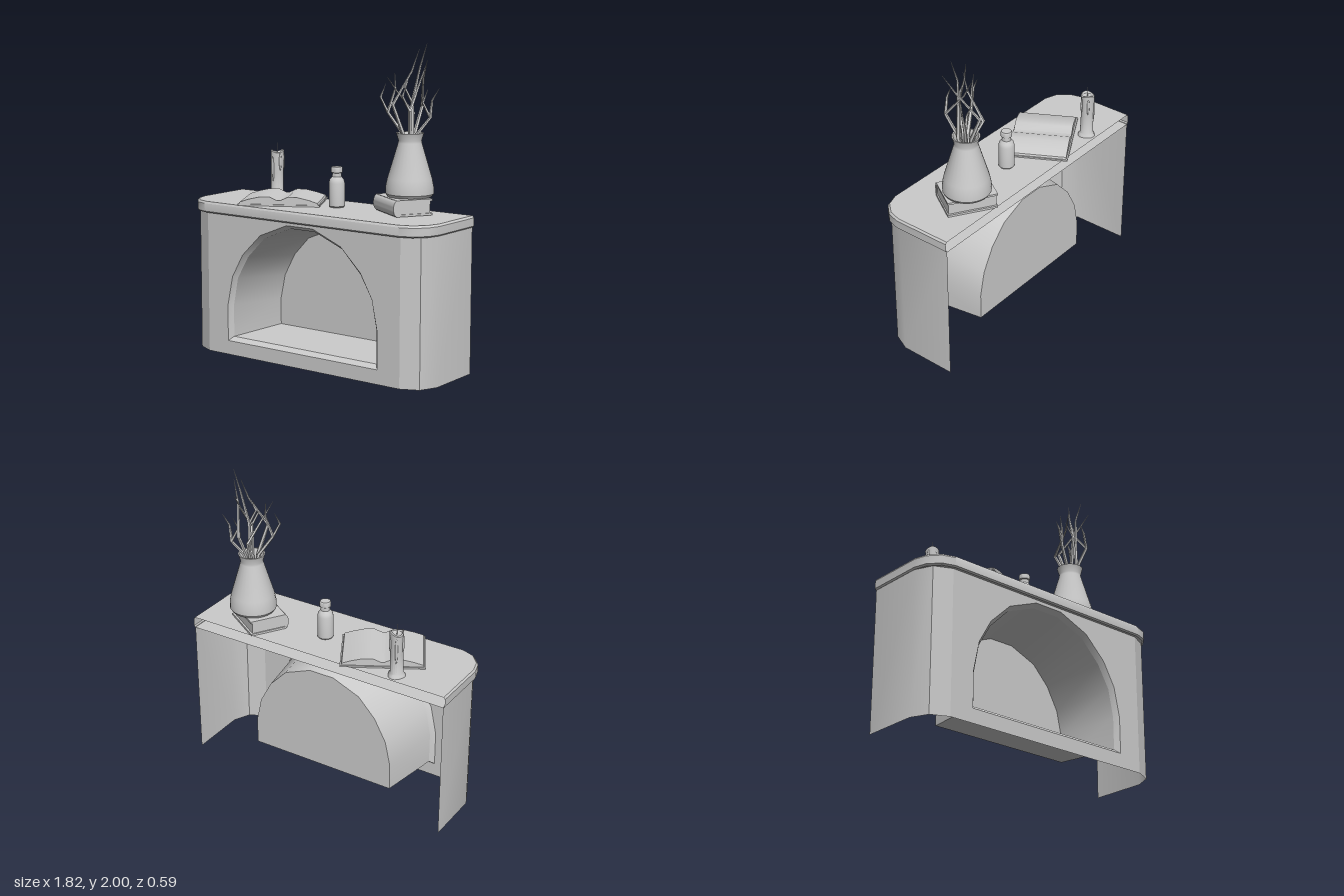
import * as THREE from 'three';
import { toCreasedNormals } from 'three/addons/utils/BufferGeometryUtils.js';

const mat = new THREE.MeshStandardMaterial({ color: 0xcccccc, side: THREE.DoubleSide });
const V2 = (p) => p.map(([x, y]) => new THREE.Vector2(x, y));

function add(parent, name, geometry, x = 0, y = 0, z = 0) {
  const mesh = new THREE.Mesh(geometry, mat);
  mesh.name = name;
  mesh.position.set(x, y, z);
  parent.add(mesh);
}

function addGroup(parent, name, x = 0, y = 0, z = 0, turn = 0) {
  const group = new THREE.Group();
  group.name = name;
  group.position.set(x, y, z);
  group.rotation.y = turn;
  parent.add(group);
  return group;
}

// Skin a list of equal-length cross-sections
function loft(rings, closed, crease = 0.6) {
  const n = rings[0].length, index = [];
  for (let r = 0; r < rings.length - 1; r++) {
    for (let i = 0; i < (closed ? n : n - 1); i++) {
      const a = r * n + i, b = r * n + (i + 1) % n;
      index.push(a, b, a + n, b, b + n, a + n);
    }
  }
  const g = new THREE.BufferGeometry();
  g.setAttribute('position', new THREE.Float32BufferAttribute(rings.flat(2), 3));
  g.setIndex(index);
  return toCreasedNormals(g, crease);
}

const lathe = (points, segments) => toCreasedNormals(new THREE.LatheGeometry(V2(points), segments), 0.6);

// Complete a right-hand half outline with its mirror image
const mirror = (half) => [...half, ...half.slice().reverse().map(([x, y]) => [-x, y])];

function hearth(root) {
  const group = addGroup(root, 'fireplace');

  // Arch outlines: outer lip, inner lip, back of the firebox
  const outer = mirror([[0.58, 0.09], [0.58, 0.32], [0.54, 0.51], [0.455, 0.66], [0.31, 0.8], [0.1, 0.885]]);
  const inner = mirror([[0.555, 0.115], [0.555, 0.32], [0.52, 0.5], [0.435, 0.645], [0.3, 0.78], [0.095, 0.862]]);
  const back = mirror([[0.5, 0.127], [0.5, 0.3], [0.465, 0.46], [0.385, 0.605], [0.27, 0.725], [0.085, 0.8]]);
  const at = (ring, z) => ring.map(([x, y]) => [x, y, z]);

  // Front wall with the arched opening
  const wall = new THREE.Shape(V2([[-0.74, 0], [0.74, 0], [0.74, 0.91], [-0.74, 0.91]]));
  wall.holes.push(new THREE.Path(V2(outer)));
  add(group, 'frontWall', new THREE.ShapeGeometry(wall), 0, 0, 0.26);

  // Side walls wrapping round the front corners
  for (const s of [1, -1]) {
    const plan = [[0.74, 0.26], [0.85, 0.21], [0.9, 0.1], [0.9, -0.27]];
    if (s < 0) plan.reverse();
    const ring = (y) => plan.map(([x, z]) => [s * x, y, z]);
    add(group, s > 0 ? 'leftSideWall' : 'rightSideWall', loft([ring(0.91), ring(0)], false));
  }

  // Firebox
  add(group, 'archBevel', loft([at(outer, 0.26), at(inner, 0.23)], true));
  add(group, 'fireboxTunnel', loft([at(inner, 0.23), at(back, -0.18)], true));
  add(group, 'fireboxBack', new THREE.ShapeGeometry(new THREE.Shape(V2(back))), 0, 0, -0.18);

  // Hollow mantel slab, open at the back
  const slab = mirror([[0.91, -0.27], [0.91, 0.11], [0.887, 0.19], [0.825, 0.258], [0.745, 0.285]]);
  const inset = slab.map(([x, z]) => [x * 0.99, z > 0 ? z - 0.008 : z]);
  const level = (ring, y) => ring.map(([x, z]) => [x, y, z]);
  add(group, 'mantelRim', loft([level(inset, 0.906), level(slab, 0.915), level(slab, 0.965), level(inset, 0.978)], false));
  for (const [name, y, s] of [['mantelTop', 0.978, -1], ['mantelUnderside', 0.906, 1]]) {
    const g = new THREE.ShapeGeometry(new THREE.Shape(V2(inset.map(([x, z]) => [x, s * z]))));
    add(group, name, g.rotateX(s * Math.PI / 2), 0, y, 0);
  }
}

function openBook(root) {
  const book = addGroup(root, 'openBook', -0.337, 0.978, -0.005, 0.51);
  add(book, 'cover', new THREE.BoxGeometry(0.516, 0.01, 0.388), 0, 0.005, 0);
  // Two humped page blocks meeting in the gutter
  const half = [[0.25, 0.01], [0.245, 0.022], [0.19, 0.04], [0.12, 0.056], [0.06, 0.058], [0.01, 0.035]];
  const g = new THREE.ExtrudeGeometry(new THREE.Shape(V2(mirror(half))), { depth: 0.37, bevelEnabled: false });
  add(book, 'pages', toCreasedNormals(g, 0.5), 0, 0, -0.185);
}

function closedBook(root) {
  const book = addGroup(root, 'closedBook', 0.515, 0.98, -0.093, -0.56);
  for (const [name, y] of [['lowerCover', 0.008], ['upperCover', 0.094]]) {
    add(book, name, new THREE.BoxGeometry(0.31, 0.013, 0.235), 0, y, -0.01);
  }
  add(book, 'pageBlock', new THREE.BoxGeometry(0.295, 0.075, 0.22), 0, 0.051, -0.005);
  // Rounded spine
  const spine = new THREE.CylinderGeometry(0.05, 0.05, 0.31, 16, 1, false, 0, Math.PI);
  spine.rotateZ(Math.PI / 2).rotateX(Math.PI / 2).scale(1, 1, 0.55);
  add(book, 'spine', toCreasedNormals(spine, 0.6), 0, 0.051, 0.1);
}

// Tapering five-sided rod through a list of points
function rod(path, radius) {
  return loft(path.map((c, i) => {
    const r = radius * (1 - 0.9 * (i / (path.length - 1)) ** 2);
    return [0, 1, 2, 3, 4].map((k) => {
      const a = k * Math.PI * 0.4;
      return [c.x + r * Math.cos(a), c.y, c.z + r * Math.sin(a)];
    });
  }), true, 0.8);
}

function vaseWithTwigs(root) {
  const vase = addGroup(root, 'vaseWithTwigs', 0.545, 0, -0.123);
  add(vase, 'vase', lathe([[0, 1.082], [0.135, 1.082], [0.147, 1.1], [0.146, 1.14], [0.136, 1.19], [0.072, 1.405],
    [0.07, 1.42], [0.084, 1.465], [0.075, 1.465], [0.061, 1.42], [0.062, 1.4], [0.12, 1.19], [0, 1.12]], 28));

  // Each twig leans out to a knee, then bends back to its tip: direction, reach, tip
  const twigs = [
    [2.7, 0.135, -0.1, 1.82, 0.02], [2.1, 0.115, 0.035, 1.965, -0.04], [0.7, 0.04, 0.115, 2, 0],
    [4.8, 0.115, 0.145, 1.91, 0.04], [5.6, 0.12, 0.145, 1.73, -0.09], [4.3, 0.105, -0.1, 1.8, 0.1],
    [1.0, 0.115, 0.05, 1.87, -0.09],
  ];
  twigs.forEach(([a, reach, x, y, z], i) => {
    const out = (r, h) => new THREE.Vector3(r * Math.cos(a), h, r * Math.sin(a));
    const tip = new THREE.Vector3(x, y, z);
    const knee = out(reach, 1.46 + 0.35 * (y - 1.46));
    const bend = knee.clone().lerp(tip, 0.6).add(out(-0.02, 0));
    add(vase, 'twig' + (i + 1), rod([out(0, 1.2), out(0.045, 1.46), knee, bend, tip], 0.014));
    // Side shoot on every other twig
    if (i % 2 === 0) {
      const side = knee.clone().add(new THREE.Vector3(-0.04, 0.09, 0.02));
      const end = knee.clone().add(new THREE.Vector3(-0.03, 0.17, -0.02));
      add(vase, 'sideShoot' + (i + 1), rod([knee, side, end], 0.01));
    }
  });
}

function candle(root) {
  const group = addGroup(root, 'candle', -0.542, 0.978, -0.2);
  // Wax body with an uneven melted rim
  const wax = new THREE.LatheGeometry(V2([[0, 0], [0.053, 0], [0.05, 0.012], [0.041, 0.025], [0.04, 0.15], [0.042, 0.26],
    [0.043, 0.297], [0.036, 0.302], [0.03, 0.285], [0, 0.278]]), 20);
  const p = wax.attributes.position;
  for (let i = 0; i < p.count; i++) {
    const a = Math.atan2(p.getZ(i), p.getX(i)), y = p.getY(i);
    const swell = 1 + 0.06 * Math.sin(3 * a + y * 9);
    p.setXYZ(i, p.getX(i) * swell, y > 0.29 ? y - 0.008 * (1 + Math.sin(2 * a)) : y, p.getZ(i) * swell);
  }
  add(group, 'wax', toCreasedNormals(wax, 0.7));
  // Wax runs down the side
  for (let i = 0; i < 5; i++) {
    const a = 0.4 + i * 1.28, h = i % 2 ? 0.095 : 0.06;
    const g = new THREE.SphereGeometry(1, 8, 8).scale(0.009, h, 0.009);
    add(group, 'drip' + (i + 1), g, 0.039 * Math.cos(a), 0.285 - h, 0.039 * Math.sin(a));
  }
  add(group, 'wick', new THREE.CylinderGeometry(0.002, 0.003, 0.075, 5), 0, 0.308, 0);
}

export function createModel() {
  const root = new THREE.Group();
  root.name = 'mantelpiece';
  hearth(root);
  openBook(root);
  closedBook(root);
  vaseWithTwigs(root);
  candle(root);
  // Small bottle with cap
  add(root, 'bottle', lathe([[0, 0], [0.044, 0], [0.05, 0.008], [0.05, 0.15], [0.044, 0.172], [0.029, 0.19], [0.028, 0.213],
    [0.035, 0.217], [0.035, 0.245], [0.031, 0.251], [0, 0.251]], 24), 0.064, 0.98, -0.034);
  return root;
}
